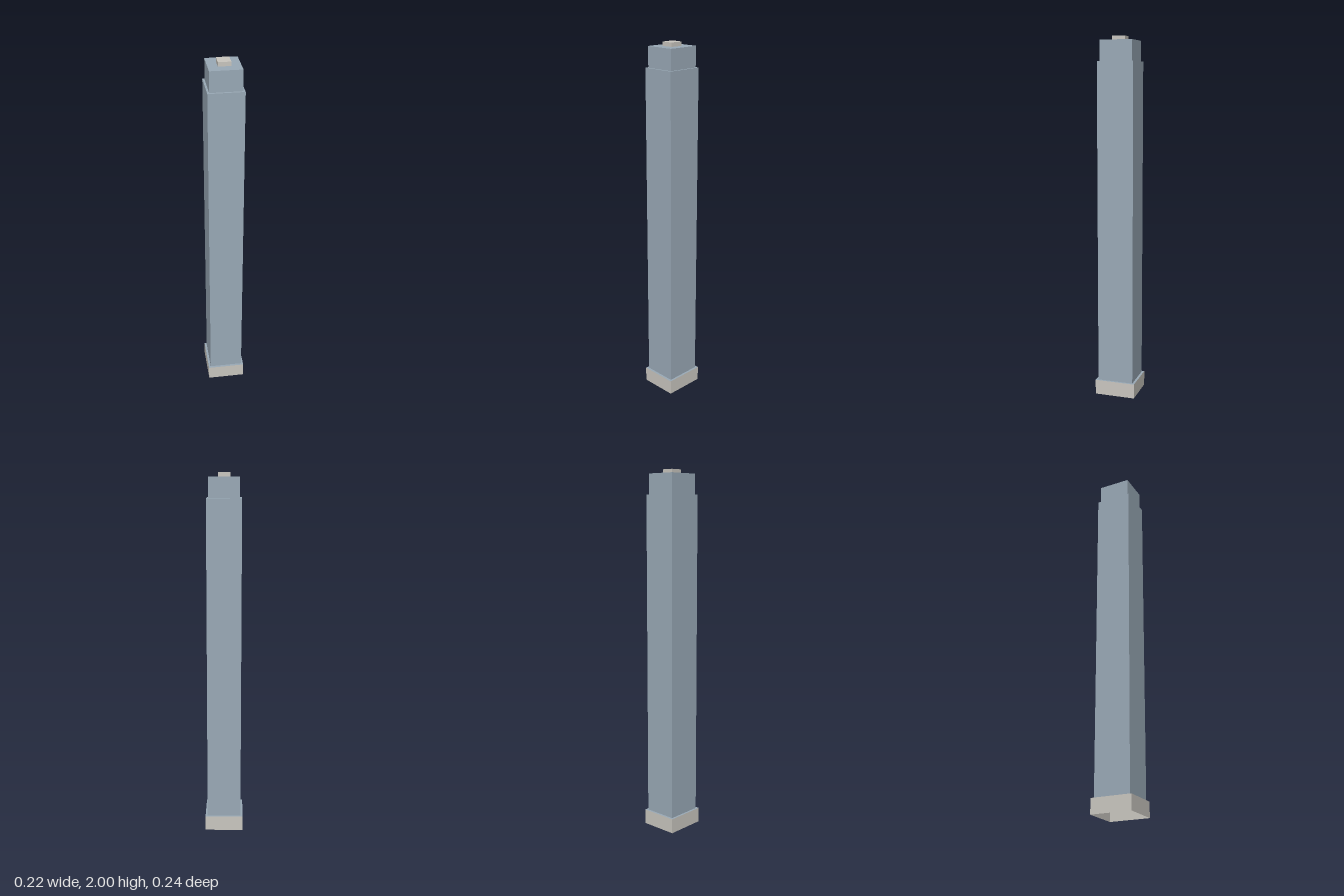
import * as THREE from 'three';

export function createModel() {
  const model = new THREE.Group();
  model.name = 'tower';

  const blue = new THREE.MeshStandardMaterial({ color: 0x9aaab7, side: THREE.DoubleSide });
  blue.name = 'blue grey';
  const stone = new THREE.MeshStandardMaterial({ color: 0xcac7c0, side: THREE.DoubleSide });
  stone.name = 'pale stone';

  // A box of the given plan size standing between two heights
  function block(name, width, depth, bottom, top, material) {
    const geometry = new THREE.BoxGeometry(width, top - bottom, depth);
    geometry.translate(0, (bottom + top) / 2, 0);
    const mesh = new THREE.Mesh(geometry, material);
    mesh.name = name;
    model.add(mesh);
    return mesh;
  }

  // Base: stone walls with a blue roof, open underneath
  const base = block('base', 0.212, 0.228, 0, 0.083, [stone, blue]);
  base.geometry.clearGroups();
  base.geometry.addGroup(0, 12, 0); // side walls
  base.geometry.addGroup(24, 12, 0); // front and back walls
  base.geometry.addGroup(12, 6, 1); // roof ledge

  // Shaft, set-back upper storey and roof box
  block('shaft', 0.188, 0.202, 0.083, 1.868, blue);
  block('upperStorey', 0.167, 0.18, 1.868, 1.978, blue);
  block('roofBox', 0.066, 0.071, 1.978, 2, stone);

  // The whole tower is turned slightly in plan
  model.rotation.y = 0.048;
  return model;
}
